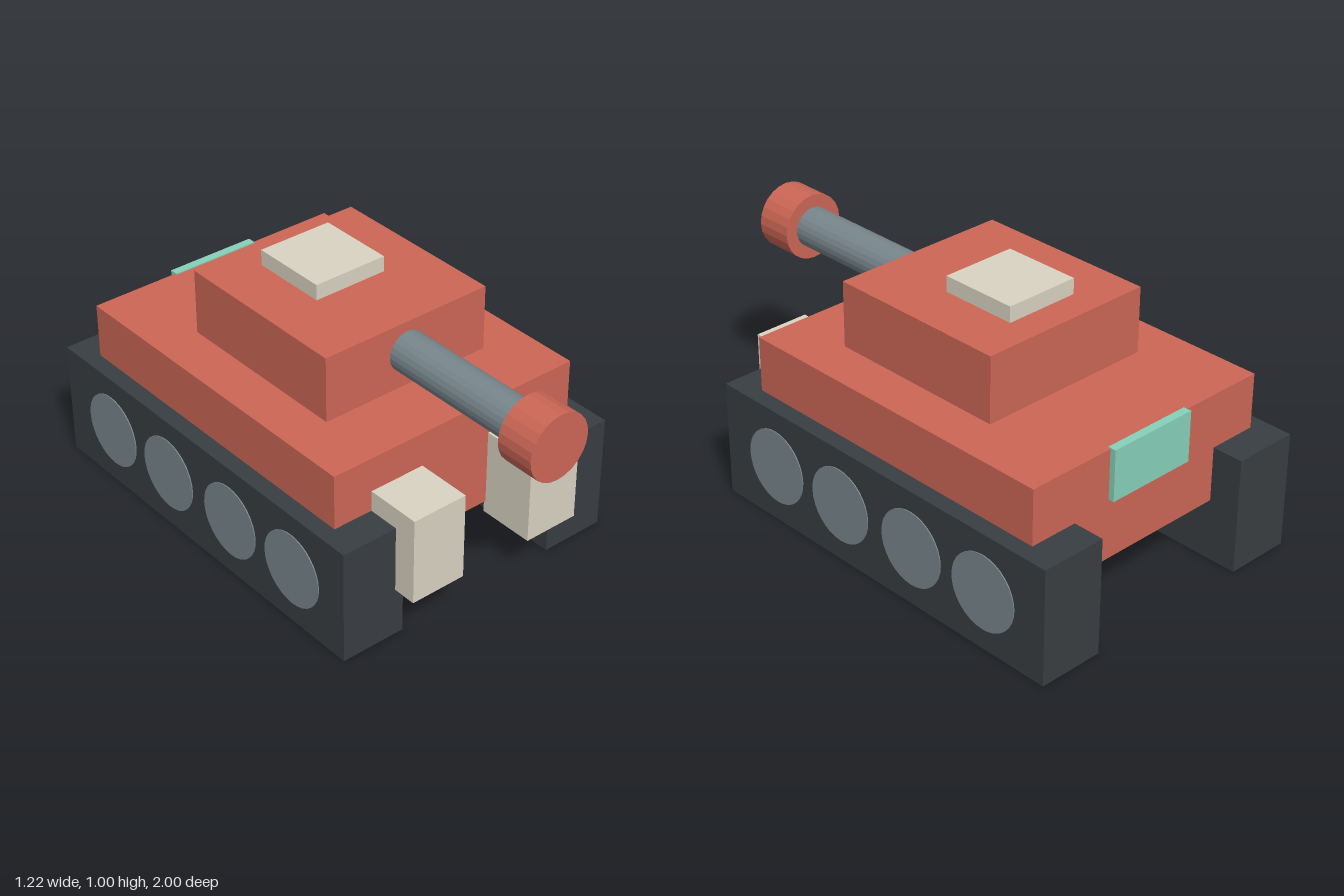
import * as THREE from 'three';

const mat = (color) => new THREE.MeshStandardMaterial({ color, flatShading: true });
const red = mat(0xcc6655);
const dark = mat(0x393e42);
const steel = mat(0x78868c);
const cream = mat(0xd9d3c1);
const mint = mat(0x86d0ba);

// Box given by its extents along each axis
function box(name, material, [x0, x1], [y0, y1], [z0, z1]) {
  const mesh = new THREE.Mesh(new THREE.BoxGeometry(x1 - x0, y1 - y0, z1 - z0), material);
  mesh.position.set((x0 + x1) / 2, (y0 + y1) / 2, (z0 + z1) / 2);
  mesh.name = name;
  return mesh;
}

// Cylinder lying along z
function tubeZ(name, material, radius, y, z0, z1) {
  const geometry = new THREE.CylinderGeometry(radius, radius, z1 - z0, 24).rotateX(Math.PI / 2);
  const mesh = new THREE.Mesh(geometry, material);
  mesh.position.set(0, y, (z0 + z1) / 2);
  mesh.name = name;
  return mesh;
}

export function createModel() {
  const model = new THREE.Group();
  model.name = 'tank';

  // Stacked body
  model.add(
    box('hull', red, [-0.54, 0.54], [0.242, 0.675], [-0.875, 0.508]),
    box('turret', red, [-0.361, 0.361], [0.675, 0.933], [-0.492, 0.248]),
    box('hatch', cream, [-0.153, 0.153], [0.933, 0.995], [-0.371, -0.058]),
    box('rearPanel', mint, [-0.185, 0.185], [0.48, 0.68], [-0.898, -0.865])
  );

  // Gun
  model.add(
    tubeZ('barrel', steel, 0.079, 0.816, 0.24, 0.85),
    tubeZ('muzzle', red, 0.129, 0.816, 0.846, 1)
  );

  // Tracks, wheels and front blocks on both sides
  const wheelGeometry = new THREE.CylinderGeometry(0.148, 0.148, 0.03, 32).rotateZ(Math.PI / 2);
  for (const [side, s] of [['left', 1], ['right', -1]]) {
    const span = (a, b) => (s > 0 ? [a, b] : [-b, -a]);
    model.add(
      box(side + 'Track', dark, span(0.344, 0.606), [0, 0.458], [-1, 0.635]),
      box(side + 'FrontBlock', cream, span(0.152, 0.379), [0.194, 0.54], [0.5, 0.728])
    );
    for (const z of [0.356, 0.005, -0.364, -0.716]) {
      const wheel = new THREE.Mesh(wheelGeometry, steel);
      wheel.position.set(s * 0.595, 0.23, z);
      wheel.name = side + 'Wheel';
      model.add(wheel);
    }
  }
  return model;
}
